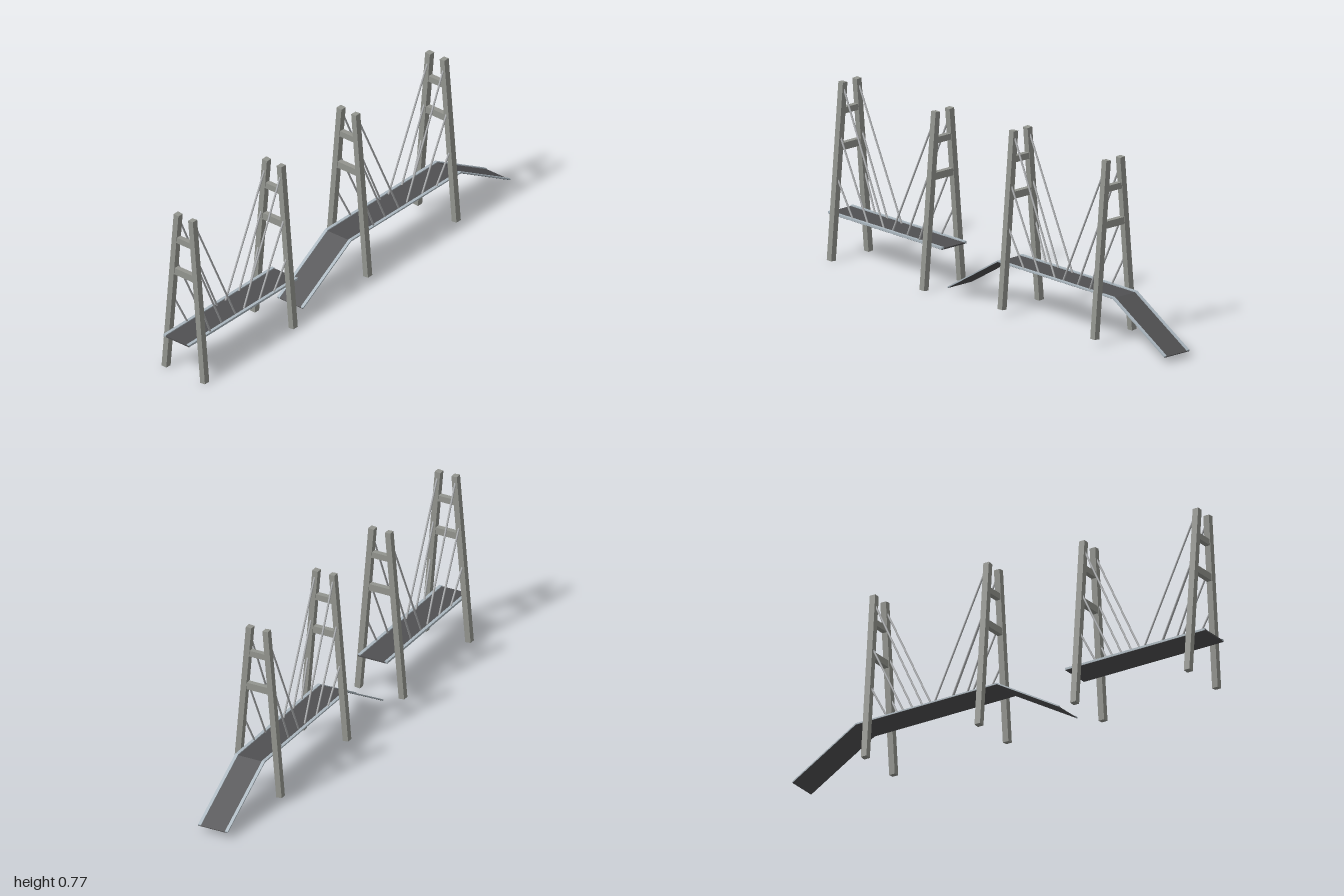
import * as THREE from 'three';

const concrete = new THREE.MeshStandardMaterial({ name: 'concrete', color: 0x92948e });
const asphalt = new THREE.MeshStandardMaterial({ name: 'asphalt', color: 0x505052 });
const kerbPaint = new THREE.MeshStandardMaterial({ name: 'pale kerb', color: 0xaab6be });
const steel = new THREE.MeshStandardMaterial({ name: 'cable steel', color: 0xaaacae });

const TOWER_H = 0.74;
const legZ = (y) => 0.1015 - 0.0635 * (y / TOWER_H); // legs lean inwards

// Straight member of rectangular or round section between two points
function between(name, geometry, material, a, b) {
  const mesh = new THREE.Mesh(geometry, material);
  mesh.name = name;
  const dir = b.clone().sub(a);
  mesh.scale.y = dir.length();
  mesh.position.copy(a).add(b).multiplyScalar(0.5);
  mesh.quaternion.setFromUnitVectors(new THREE.Vector3(0, 1, 0), dir.normalize());
  return mesh;
}

// Band following a polyline in x and y, extruded across z
function band(name, path, low, high, z0, z1, material) {
  const outline = [
    ...path.map(([x, y]) => new THREE.Vector2(x, y + low)),
    ...path.slice().reverse().map(([x, y]) => new THREE.Vector2(x, y + high)),
  ];
  const geo = new THREE.ExtrudeGeometry(new THREE.Shape(outline), { depth: z1 - z0, bevelEnabled: false });
  geo.translate(0, 0, z0);
  const mesh = new THREE.Mesh(geo, material);
  mesh.name = name;
  return mesh;
}

// A-shaped tower with two leaning legs and two crossbeams
function tower(x, baseY) {
  const group = new THREE.Group();
  group.name = 'tower';
  const legGeo = new THREE.BoxGeometry(0.027, 1, 0.025);
  for (const s of [1, -1]) {
    group.add(between('towerLeg', legGeo, concrete,
      new THREE.Vector3(0, 0.001, s * legZ(0)), new THREE.Vector3(0, TOWER_H - 0.001, s * legZ(TOWER_H))));
  }
  for (const [y, h] of [[0.47, 0.03], [0.62, 0.026]]) {
    const beam = new THREE.Mesh(new THREE.BoxGeometry(0.022, h, 2 * legZ(y)), concrete);
    beam.name = 'crossbeam';
    beam.position.y = y;
    group.add(beam);
  }
  group.position.set(x, baseY, 0);
  return group;
}

// Three stay cables on each side of a tower, running towards midspan
function cables(x, dir, baseY) {
  const group = new THREE.Group();
  group.name = 'stayCables';
  const geo = new THREE.CylinderGeometry(0.004, 0.004, 1, 40, 1, true);
  const lift = dir > 0 ? 0.01 : -0.01;
  // height on the tower, reach along the deck, z at the deck
  for (const [top, reach, z] of [[0.7, 0.25, 0.048], [0.5, 0.16, 0.053], [0.325, 0.08, 0.06]]) {
    for (const s of [1, -1]) {
      group.add(between('cable', geo, steel,
        new THREE.Vector3(x + dir * 0.01, baseY + top + lift, s * legZ(top)),
        new THREE.Vector3(x + dir * (reach + lift / 2), baseY + 0.181, s * z)));
    }
  }
  return group;
}

function bridge(name, baseY, towerXs, path, thickness) {
  const group = new THREE.Group();
  group.name = name;
  // Road slab with low kerbs wrapping its edges
  group.add(band('roadDeck', path, -thickness, 0, -0.067, 0.067, asphalt));
  group.add(band('kerbLeft', path, 0.001 - thickness, 0.004, 0.055, 0.068, kerbPaint));
  group.add(band('kerbRight', path, 0.001 - thickness, 0.004, -0.068, -0.055, kerbPaint));
  towerXs.forEach((x, i) => {
    group.add(tower(x, baseY));
    group.add(cables(x, i === 0 ? 1 : -1, baseY));
  });
  return group;
}

export function createModel() {
  const model = new THREE.Group();
  model.name = 'cableStayedBridges';
  model.add(bridge('flatBridge', 0, [-0.943, -0.392], [[-1, 0.184], [-0.323, 0.184]], 0.006));
  model.add(bridge('rampedBridge', 0.025, [0.072, 0.623],
    [[-0.29, 0.028], [0.008, 0.205], [0.692, 0.205], [1, 0.028]], 0.003));
  return model;
}
